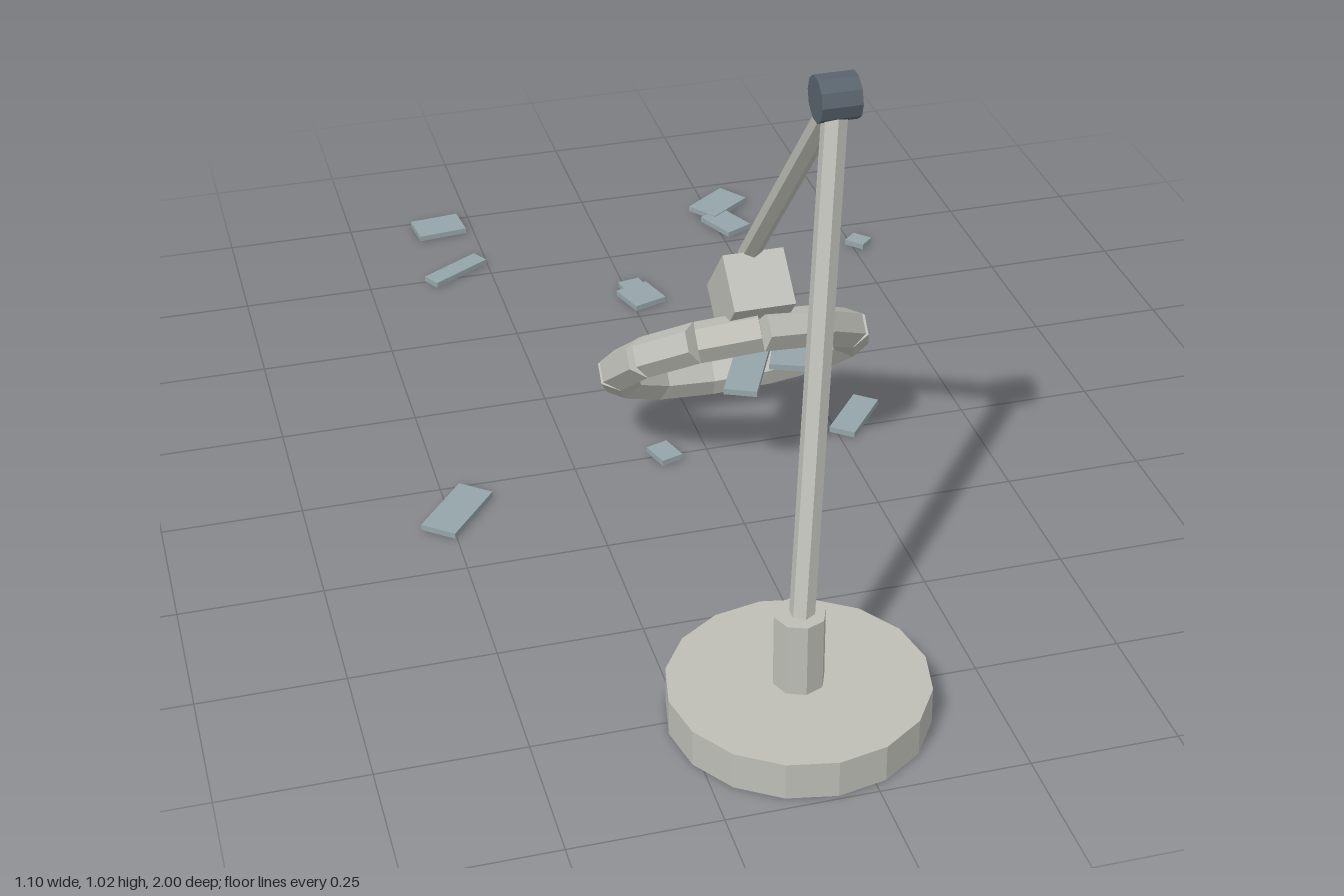
import * as THREE from 'three';

const material = (name, color) => {
  const m = new THREE.MeshStandardMaterial({ color });
  m.name = name;
  m.flatShading = true;
  return m;
};

export function createModel() {
  const model = new THREE.Group();
  model.name = 'deskMagnifierWithShards';
  const paleGrey = material('paleGrey', 0xbebeb7);
  const darkSteel = material('darkSteel', 0x5a646e);
  const glass = material('blueGreyGlass', 0x95a5a9);

  const add = (name, geometry, mat, position = [0, 0, 0], parent = model) => {
    const mesh = new THREE.Mesh(geometry, mat);
    mesh.name = name;
    mesh.position.set(...position);
    parent.add(mesh);
    return mesh;
  };

  // six-sided rod between two points
  const rod = (name, from, to, radius) => {
    const a = new THREE.Vector3(...from);
    const b = new THREE.Vector3(...to);
    const dir = b.clone().sub(a);
    const mesh = add(name, new THREE.CylinderGeometry(radius, radius, dir.length(), 6), paleGrey,
      a.add(b).multiplyScalar(0.5).toArray());
    mesh.quaternion.setFromUnitVectors(new THREE.Vector3(0, 1, 0), dir.normalize());
  };

  // stand
  add('base', new THREE.CylinderGeometry(0.215, 0.215, 0.065, 16), paleGrey, [-0.065, 0.0375, 0.78]);
  add('post', new THREE.CylinderGeometry(0.043, 0.043, 0.13, 8), paleGrey, [-0.065, 0.135, 0.78]);

  // arms and elbow
  rod('lowerArm', [-0.065, 0.17, 0.787], [0.045, 0.985, 0.565], 0.021);
  rod('upperArm', [0.045, 0.985, 0.565], [0.045, 0.465, 0.105], 0.019);
  const elbow = add('elbowJoint', new THREE.CylinderGeometry(0.038, 0.038, 0.065, 10), darkSteel,
    [0.045, 0.99, 0.565]);
  elbow.rotation.z = Math.PI / 2;

  // block joining arm and ring
  const block = add('ringMount', new THREE.BoxGeometry(0.11, 0.15, 0.105), paleGrey, [0.045, 0.398, 0.126]);
  block.rotation.x = THREE.MathUtils.degToRad(41);

  // lens ring of twelve straight segments
  const ring = new THREE.Group();
  ring.name = 'lensRing';
  ring.position.set(0.045, 0.217, 0.025);
  ring.rotation.x = THREE.MathUtils.degToRad(49);
  model.add(ring);
  const segment = new THREE.CylinderGeometry(0.037, 0.037, 0.112, 6);
  for (let i = 0; i < 12; i++) {
    const angle = ((i + 0.5) * Math.PI) / 6;
    const part = add('ringSegment', segment, paleGrey,
      [0.211 * Math.cos(angle), 0.211 * Math.sin(angle), 0], ring);
    part.rotation.z = angle;
  }

  // glass shards: x, z, width, depth, turn in degrees, height
  const shards = [
    [-0.32, -0.96, 0.10, 0.07, 6, 0.01],
    [-0.32, -0.77, 0.135, 0.038, 31, 0.01],
    [0.015, -0.60, 0.045, 0.06, 10, 0.009],
    [0.02, -0.565, 0.07, 0.075, 18, 0.011],
    [0.275, -0.90, 0.107, 0.07, 36, 0.011],
    [0.27, -0.82, 0.06, 0.09, 25, 0.009],
    [0.257, -0.54, 0.046, 0.14, 36, 0.01],
    [0.515, -0.667, 0.036, 0.042, 43, 0.01],
    [0.243, -0.313, 0.085, 0.032, 8, 0.01],
    [0.295, -0.026, 0.05, 0.125, -39, 0.01],
    [-0.485, 0.083, 0.068, 0.143, -39, 0.01],
    [-0.081, 0.002, 0.043, 0.055, 18, 0.01],
    // shards held inside the ring
    [0.098, -0.045, 0.10, 0.043, 20, 0.22],
    [0.142, 0.06, 0.072, 0.09, -22, 0.219],
    [0.05, 0.09, 0.06, 0.16, -25, 0.221],
  ];
  for (const [x, z, width, depth, turn, y] of shards) {
    const shard = add('glassShard', new THREE.BoxGeometry(width, 0.011, depth), glass, [x, y, z]);
    shard.rotation.y = THREE.MathUtils.degToRad(turn);
  }

  return model;
}
